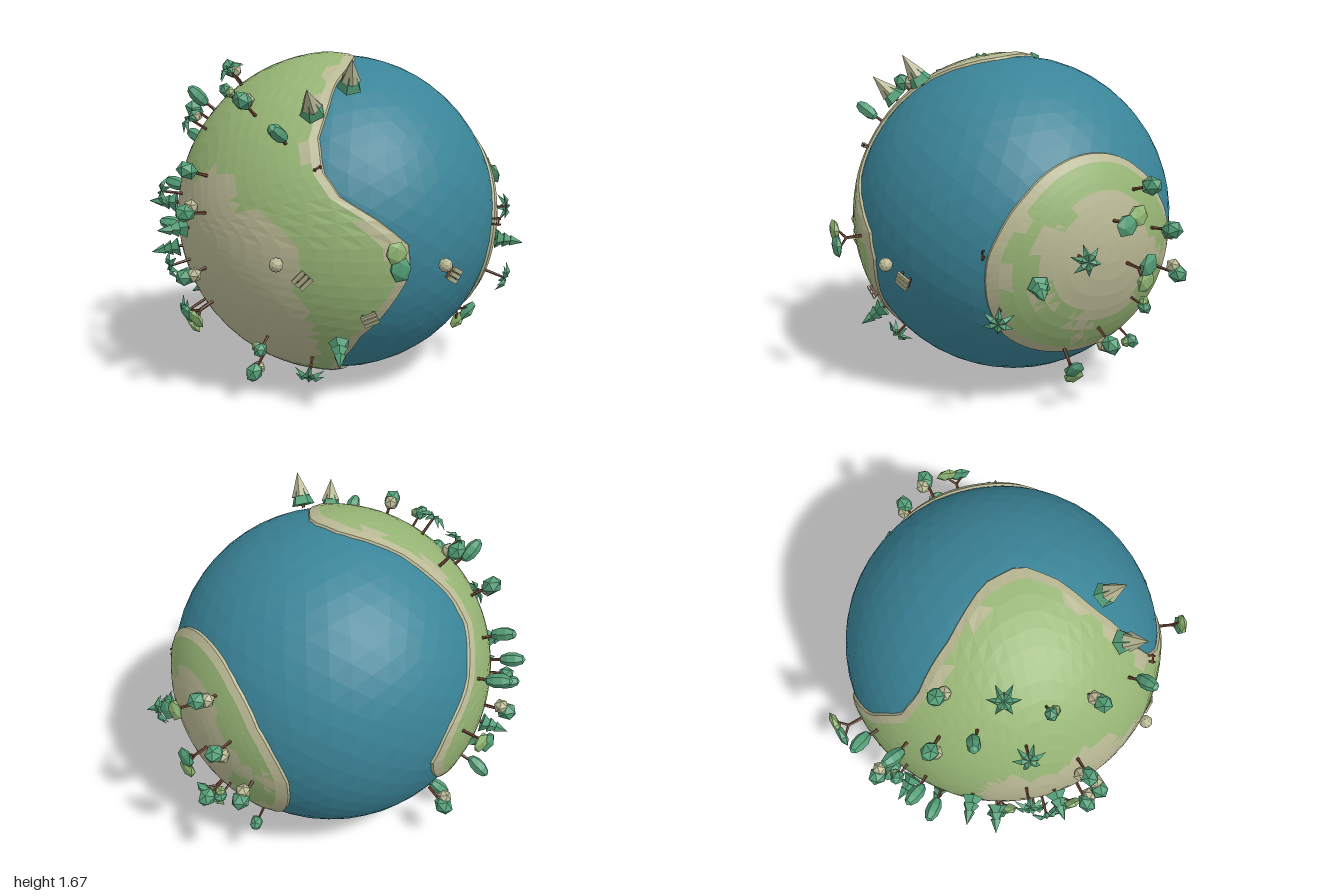
import * as THREE from 'three';

const mat = (name, color, double) => {
  const m = new THREE.MeshStandardMaterial({ color });
  m.name = name;
  if (double) m.side = THREE.DoubleSide;
  return m;
};
const M = {
  ocean: mat('ocean blue', 0x3a8498),
  grass: mat('grass green', 0x98b676),
  sand: mat('sand', 0xb9b894),
  leaf: mat('leaf green', 0x549f78),
  frond: mat('frond green', 0x549f78, true),
  lime: mat('light leaf green', 0x8fb673),
  wood: mat('trunk brown', 0x6e4632),
};
const CENTRE = new THREE.Vector3(-0.01, 0.855, 0), R = 0.83;

// facetted copy of a geometry
function flat(g) {
  const f = g.index ? g.toNonIndexed() : g;
  f.computeVertexNormals();
  return f;
}
function add(parent, name, geo, material, pos = [0, 0, 0], scale = [1, 1, 1], rot = [0, 0, 0]) {
  const m = new THREE.Mesh(flat(geo), material);
  m.name = name;
  m.position.set(...pos);
  m.scale.set(...scale);
  m.rotation.set(...rot);
  parent.add(m);
  return m;
}

// coastlines: [angle around the x axis from the front, value]
const WEST = [[0, -.02], [8, -.15], [17, -.32], [28, -.38], [41, -.36], [61, -.2], [72, -.05], [83, .05], [96, 0],
  [112, -.2], [132, -.36], [145, -.39], [165, -.28], [178, -.1], [190, -.02], [201, -.1], [215, -.3], [236, -.29],
  [250, -.1], [264, .04], [283, -.03], [295, -.15], [311, -.2], [324, -.18], [338, -.08], [350, 0], [360, -.02]];
const EAST = [[0, .54], [11, .51], [35, .463], [63, .44], [90, .425], [127, .41], [157, .43], [174, .472], [194, .537],
  [209, .562], [227, .59], [246, .609], [260, .593], [280, .583], [300, .596], [314, .604], [336, .58], [354, .553], [360, .54]];
function lookup(table, deg) {
  const i = Math.max(1, table.findIndex(p => p[0] >= deg));
  const [a, b] = [table[i - 1], table[i]];
  return a[1] + (b[1] - a[1]) * (deg - a[0]) / (b[0] - a[0]);
}

// a raised shell of rings running from the coast to the pole on the x axis
function land(side, coast, rings, colourAt) {
  const SEG = 80, lists = { grass: [], sand: [] };
  const point = (i, ring) => {
    const deg = ((i % SEG) + SEG) % SEG * 360 / SEG, th = deg * Math.PI / 180, edge = coast(deg);
    const phi = ring < 0 ? edge + 0.018 : edge * rings[ring];
    const r = ring < 0 ? 0.8 : ring === 0 ? 0.822 : R;
    return new THREE.Vector3(side * Math.cos(phi), Math.sin(phi) * Math.sin(th), Math.sin(phi) * Math.cos(th)).multiplyScalar(r);
  };
  const tri = (a, b, c, t) => {
    const n = b.clone().sub(a).cross(c.clone().sub(a));
    if (n.lengthSq() < 1e-14) return;
    const mid = a.clone().add(b).add(c).divideScalar(3);
    const out = n.dot(mid) > 0 ? [a, b, c] : [a, c, b];
    out.forEach(p => lists[colourAt(mid, t)].push(p.x, p.y, p.z));
  };
  for (let k = -1; k < rings.length - 1; k++) {
    const t = k < 0 ? 1 : (rings[k] + rings[k + 1]) / 2;
    for (let i = 0; i < SEG; i++) {
      const a = point(i, k), b = point(i + 1, k), c = point(i + 1, k + 1), d = point(i, k + 1);
      if ((i + k) % 2) { tri(a, b, c, t); tri(a, c, d, t); } else { tri(a, b, d, t); tri(b, c, d, t); }
    }
  }
  const g = new THREE.Group();
  for (const key in lists) {
    const geo = new THREE.BufferGeometry();
    geo.setAttribute('position', new THREE.Float32BufferAttribute(lists[key], 3));
    add(g, key, geo, M[key]);
  }
  return g;
}
const wobble = p => Math.sin(p.x * 13 + p.y * 9) * Math.sin(p.z * 14 - p.y * 8);

// plants, built upright with the ground at y = 0
const ico = r => new THREE.IcosahedronGeometry(r, 0);
const trunk = (g, h, r = 0.009) => add(g, 'trunk', new THREE.CylinderGeometry(r * 0.8, r, h, 5), M.wood, [0, h / 2, 0]);
const PLANTS = {
  bush(g) {
    trunk(g, 0.08);
    add(g, 'crown', ico(0.046), M.leaf, [0, 0.122, 0], [1, 1.2, 1]);
    add(g, 'paleCrown', ico(0.039), M.sand, [0.026, 0.092, 0.012]);
  },
  sapling(g) {
    trunk(g, 0.07, 0.007);
    add(g, 'crown', ico(0.034), M.leaf, [0, 0.09, 0], [1, 1.2, 1]);
    add(g, 'lightCrown', ico(0.028), M.lime, [0.024, 0.078, 0]);
  },
  poplar(g) {
    trunk(g, 0.06);
    add(g, 'crown', new THREE.SphereGeometry(1, 6, 5), M.leaf, [0, 0.115, 0], [0.037, 0.069, 0.037], [0.15, 0, 0.15]);
  },
  acacia(g) {
    trunk(g, 0.09);
    for (const s of [-1, 1]) add(g, 'branch', new THREE.CylinderGeometry(0.006, 0.007, 0.06, 5), M.wood, [s * 0.02, 0.1, 0], [1, 1, 1], [0, 0, -s * 0.85]);
    add(g, 'canopy', ico(1), M.leaf, [0.03, 0.135, 0], [0.066, 0.024, 0.055]);
    add(g, 'lightCanopy', ico(1), M.lime, [-0.045, 0.135, 0.01], [0.06, 0.023, 0.055]);
  },
  pine(g) {
    trunk(g, 0.04);
    for (let i = 0; i < 3; i++) add(g, 'tier', new THREE.ConeGeometry(0.055 - i * 0.013, 0.07, 5), M.leaf, [0, 0.06 + i * 0.037, 0], [1, 1, 1], [0, i, 0]);
  },
  peak(g) {
    trunk(g, 0.03);
    add(g, 'skirt', new THREE.CylinderGeometry(0.03, 0.062, 0.08, 5), M.leaf, [0, 0.055, 0]);
    add(g, 'paleTip', new THREE.ConeGeometry(0.05, 0.125, 5), M.sand, [0, 0.122, 0], [1, 1, 1], [0, 0.5, 0]);
  },
  palm(g) {
    trunk(g, 0.11, 0.008);
    for (let i = 0; i < 6; i++) {
      const a = i * Math.PI / 3, at = (r, da, y) => [Math.cos(a + da) * r, y, Math.sin(a + da) * r];
      const geo = new THREE.BufferGeometry(), root = [0, 0.115, 0], ridge = at(0.04, 0, 0.125), tip = at(0.082, 0, 0.085);
      const l = at(0.036, -0.5, 0.108), r = at(0.036, 0.5, 0.108);
      geo.setAttribute('position', new THREE.Float32BufferAttribute(
        [root, ridge, l, l, ridge, tip, root, r, ridge, r, tip, ridge].flat(), 3));
      add(g, 'frond', geo, M.frond);
    }
  },
  ball(g) {
    trunk(g, 0.03);
    add(g, 'paleCrown', new THREE.IcosahedronGeometry(0.034, 1), M.sand, [0, 0.035, 0]);
  },
  bench(g) {
    for (let i = -1; i <= 1; i++) add(g, 'slat', new THREE.BoxGeometry(0.075, 0.01, 0.02), M.sand, [0, 0.024, i * 0.025]);
    for (const s of [-1, 1]) add(g, 'foot', new THREE.BoxGeometry(0.008, 0.02, 0.06), M.wood, [s * 0.025, 0.008, 0]);
  },
  post(g) {
    for (const s of [-1, 1]) add(g, 'upright', new THREE.BoxGeometry(0.008, 0.045, 0.008), M.wood, [s * 0.015, 0.015, 0]);
    add(g, 'rail', new THREE.BoxGeometry(0.045, 0.008, 0.008), M.wood, [0, 0.025, 0]);
  },
};

// directions from the globe's centre, with an optional turn about the trunk
const SPOTS = {
  peak: [[-.16, .77, .5, .6], [-.38, .64, .53, .6]],
  poplar: [[-.57, .53, .58], [-.65, .6, -.3], [-.55, .34, -.67], [-.4, .21, -.81], [-.74, -.11, -.55], [-.42, -.41, -.72],
    [-.36, -.69, -.5], [-.73, .1, -.65]],
  bush: [[-.45, .75, -.43], [-.63, .64, .31], [-.6, .5, -.49], [-.51, -.05, -.77], [-.87, .31, .2], [-.2, -.57, -.73],
    [-.92, .12, .26], [-.52, -.79, .1], [-.9, -.2, .22], [.87, .05, -.31], [.83, -.2, -.42], [.8, -.49, -.03], [.86, .27, -.18]],
  sapling: [[-.65, .69, .07], [-.62, .1, -.72], [.85, -.34, -.22], [.68, -.58, -.28], [-.6, -.55, .42]],
  acacia: [[-.13, -.04, .95, -1.57], [-.25, -.02, -.93, 2.7], [.94, .14, -.02, -1.2], [.95, -.11, -.12, 3.04],
    [.7, -.62, .12, 3.14], [-.82, -.42, .12, 1.5], [-.74, -.53, -.2, .4]],
  pine: [[.83, -.16, .39], [-.85, .05, -.39], [-.88, -.18, -.26], [-.58, -.26, -.68], [-.6, -.48, -.52], [-.3, -.53, .68], [-.94, 0, .06]],
  palm: [[-.54, .75, -.13], [-.76, .51, -.07], [-.91, .16, -.1], [-.92, -.2, .0], [-.82, -.45, -.03], [-.38, -.69, .5],
    [.93, -.02, .2], [.7, -.31, .54]],
  ball: [[.17, -.11, .82], [-.6, -.08, .63]],
  bench: [[.25, -.18, .78, -.2], [-.48, -.15, .67, .2], [-.17, -.35, .73, .2]],
  post: [[-.39, .35, .64], [.61, 0, .56]],
};

export function createModel() {
  const root = new THREE.Group();
  root.name = 'tinyPlanet';
  const globe = new THREE.Group();
  globe.name = 'globe';
  globe.position.copy(CENTRE);
  root.add(globe);

  add(globe, 'ocean', new THREE.IcosahedronGeometry(0.812, 8), M.ocean);

  // western continent: beach, grass and a dry highland
  const dry = new THREE.Vector3(-0.9, -0.36, 0.2).normalize();
  const westRings = [1, .955, .9, .84, .78, .72, .66, .6, .53, .46, .39, .32, .25, .18, .1, 0];
  const west = land(-1, d => Math.acos(-lookup(WEST, d) / R), westRings, (p, t) =>
    t > 0.97 || t + wobble(p) * 0.06 > 0.96 || p.dot(dry) / R > 0.74 + wobble(p) * 0.06 ? 'sand' : 'grass');
  west.name = 'westernContinent';

  // eastern island
  const eastRings = [1, .9, .8, .7, .6, .5, .38, .25, .12, 0];
  const east = land(1, d => Math.asin(lookup(EAST, d) / R), eastRings, (p, t) =>
    t > 0.9 || t + wobble(p) * 0.1 > 0.91 || t < 0.62 + wobble(p) * 0.14 ? 'sand' : 'grass');
  east.name = 'easternIsland';
  globe.add(west, east);

  // plants and props stand upright on the surface
  const up = new THREE.Vector3(0, 1, 0);
  let n = 0;
  for (const kind in SPOTS) for (const [x, y, z, turn = n * 2.4] of SPOTS[kind]) {
    const g = new THREE.Group(), dir = new THREE.Vector3(x, y, z).normalize();
    g.name = kind;
    PLANTS[kind](g);
    g.position.copy(dir).multiplyScalar(0.822);
    g.quaternion.setFromUnitVectors(up, dir);
    g.rotateY(turn);
    globe.add(g);
    n++;
  }
  return root;
}
